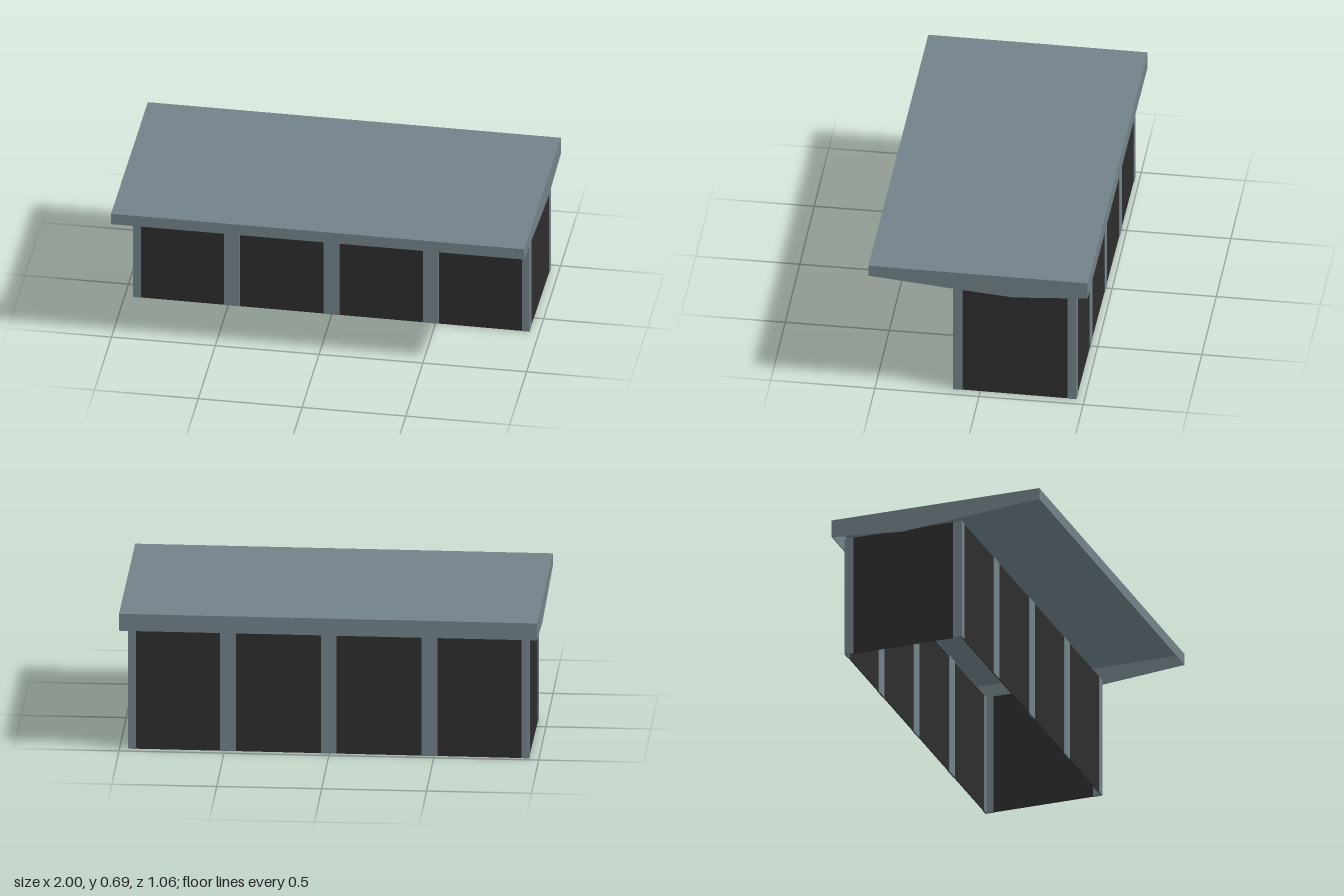
import * as THREE from 'three';

export function createModel() {
  const model = new THREE.Group();
  model.name = 'shelter';

  const steel = new THREE.MeshStandardMaterial({ color: 0x728289 });
  steel.name = 'grey blue steel';
  const panel = new THREE.MeshStandardMaterial({ color: 0x2d2d2d });
  panel.name = 'dark panel';

  const addBox = (parent, name, mat, w, h, d, x, y, z) => {
    const mesh = new THREE.Mesh(new THREE.BoxGeometry(w, h, d), mat);
    mesh.name = name;
    mesh.position.set(x, y, z);
    parent.add(mesh);
  };

  // Walls: a thin closed ring, open at the bottom
  const W = 0.957, D = 0.297, H = 0.607, T = 0.004, P = 0.009;
  const body = new THREE.Group();
  body.name = 'body';
  body.position.z = -0.174;
  body.rotation.y = -0.008;
  model.add(body);

  for (const s of [1, -1]) {
    const face = s > 0 ? 'front' : 'back';
    const side = s > 0 ? 'left' : 'right';
    addBox(body, face + 'Wall', panel, 2 * W - T, H, T, 0, H / 2, s * (D - P / 2));
    addBox(body, side + 'Wall', panel, T, H, 2 * D - P, s * (W - P / 2), H / 2, 0);

    // Flat posts, visible on both faces of the long walls
    for (const x of [-0.48, 0, 0.48]) {
      addBox(body, face + 'Post', steel, 0.076, H, P, x, H / 2, s * (D - P / 2));
    }
    // Angle posts folded around the corners
    for (const e of [1, -1]) {
      addBox(body, face + 'CornerPost', steel, 0.038, H, P, e * (W - 0.019), H / 2, s * (D - P / 2));
      addBox(body, face + 'CornerPostReturn', steel, P, H, 0.044 - P,
        e * (W - P / 2), H / 2, s * (D - P - (0.044 - P) / 2));
    }
  }

  // Roof: top sheet with hanging edges, open underneath
  const roof = new THREE.Group();
  roof.name = 'roof';
  roof.rotation.y = -0.005;
  model.add(roof);

  const RW = 0.996, RD = 0.527, top = 0.695, E = 0.004;
  addBox(roof, 'roofSheet', steel, 2 * RW, E, 2 * RD, 0, top - E / 2, 0);
  addBox(roof, 'frontFascia', steel, 2 * RW - 2 * E, 0.057 - E, E, 0, top - E - (0.057 - E) / 2, RD - E / 2);
  addBox(roof, 'backFascia', steel, 2 * RW - 2 * E, 0.085 - E, E, 0, top - E - (0.085 - E) / 2, -RD + E / 2);

  // End panels with a lower edge that dips over the walls
  const profile = new THREE.Shape([
    [RD, top - E], [RD, 0.638], [0.09, 0.6], [-0.17, 0.58],
    [-0.43, 0.6], [-RD, 0.61], [-RD, top - E],
  ].map(([z, y]) => new THREE.Vector2(z, y)));
  const endGeo = new THREE.ExtrudeGeometry(profile, { depth: E, bevelEnabled: false });
  endGeo.translate(0, 0, -E / 2);
  endGeo.rotateY(-Math.PI / 2);
  for (const s of [1, -1]) {
    const end = new THREE.Mesh(endGeo, steel);
    end.name = s > 0 ? 'leftEndPanel' : 'rightEndPanel';
    end.position.x = s * (RW - E / 2);
    roof.add(end);
  }

  return model;
}
